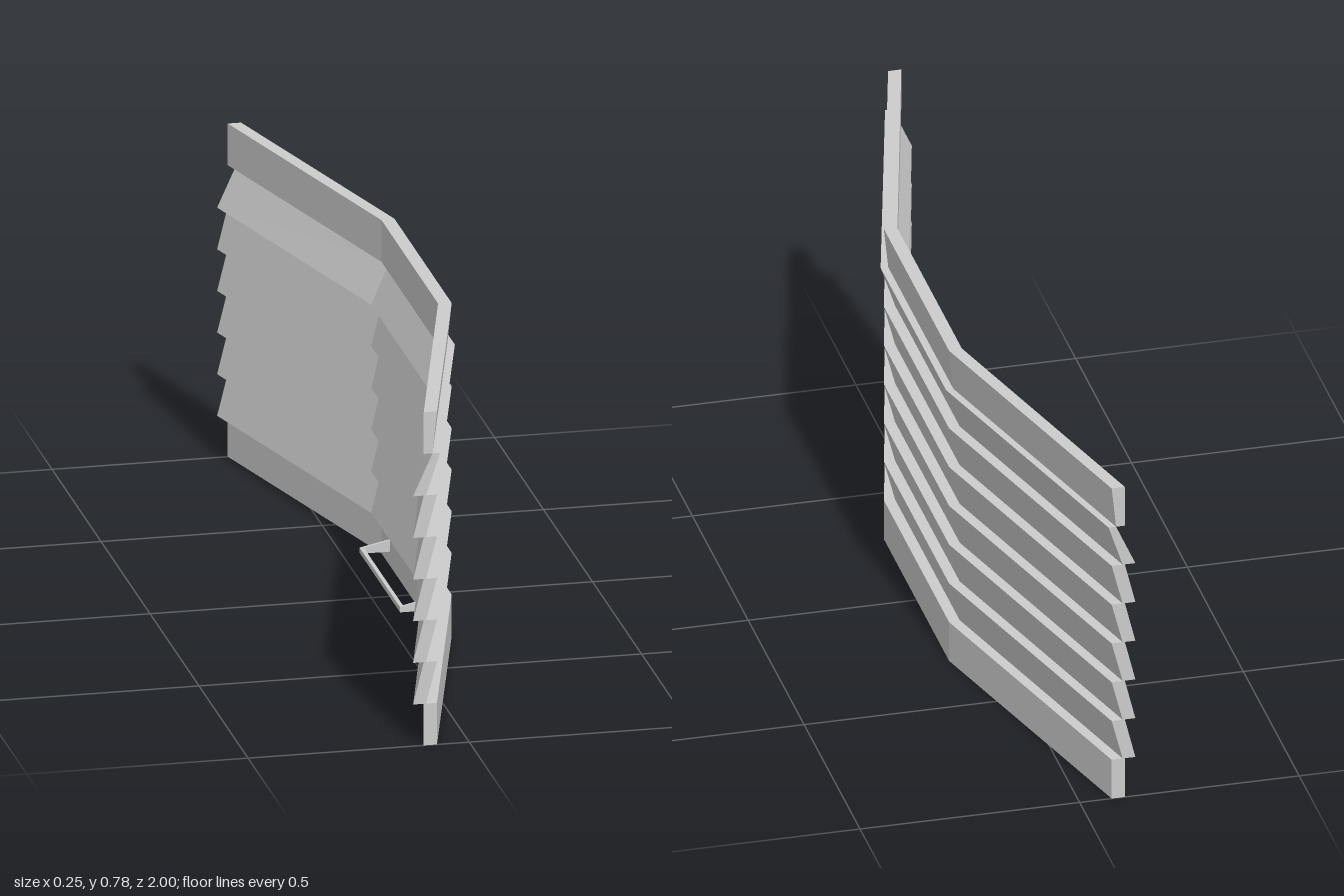
import * as THREE from 'three';

const material = new THREE.MeshStandardMaterial({ color: 0xcccccc, flatShading: true });
const PITCH = 0.0972, SWEEP = 0.19, BEND = 0.29;

// One board: a four-cornered section swept through a straight middle and two swept-back wings.
// Section x values are those at the straight middle.
function board(name, y0, y1, [innerBottom, outerBottom, innerTop, outerTop]) {
  let geo = new THREE.BoxGeometry(1, 1, 1, 1, 1, 3);
  const p = geo.attributes.position;
  for (let i = 0; i < p.count; i++) {
    const top = p.getY(i) > 0, outer = p.getX(i) > 0, z = p.getZ(i);
    const x = top ? (outer ? outerTop : innerTop) : (outer ? outerBottom : innerBottom);
    const end = Math.abs(z) > 0.4;
    const bendZ = BEND + 0.13 * (x - 0.1); // mitred corner
    p.setXYZ(i, end ? x - SWEEP : x, top ? y1 : y0, Math.sign(z) * (end ? 1 : bendZ));
  }
  geo = geo.toNonIndexed();
  geo.computeVertexNormals();
  const mesh = new THREE.Mesh(geo, material);
  mesh.name = name;
  return mesh;
}

// Thin loop handle on the inner side of the bottom board
function handle() {
  const group = new THREE.Group();
  group.name = 'handle';
  const bar = new THREE.Mesh(new THREE.BoxGeometry(0.009, 0.012, 0.41), material);
  bar.name = 'handleBar';
  bar.position.set(0.0245, 0.039, -0.003);
  group.add(bar);

  const side = new THREE.Shape([
    new THREE.Vector2(0.02, 0.033), new THREE.Vector2(0.09, 0.033),
    new THREE.Vector2(0.09, 0.06), new THREE.Vector2(0.02, 0.045),
  ]);
  const geo = new THREE.ExtrudeGeometry(side, { depth: 0.008, bevelEnabled: false });
  for (const z of [-0.21, 0.196]) {
    const arm = new THREE.Mesh(geo, material);
    arm.name = 'handleArm';
    arm.position.z = z;
    group.add(arm);
  }
  return group;
}

export function createModel() {
  const model = new THREE.Group();
  model.name = 'slattedPanel';

  // Upright bottom board
  model.add(board('bottomBoard', 0, PITCH, [0.087, 0.117, 0.087, 0.117]));

  // Tilted overlapping slats, the last one leaning a little further
  for (let i = 1; i <= 6; i++) {
    const section = i < 6 ? [0.063, 0.092, 0.087, 0.117] : [0.063, 0.092, 0.107, 0.124];
    model.add(board('slat' + i, i * PITCH, (i + 1) * PITCH, section));
  }

  // Top rail
  model.add(board('topBoard', 7 * PITCH, 8 * PITCH, [0.087, 0.107, 0.087, 0.117]));

  model.add(handle());
  return model;
}
